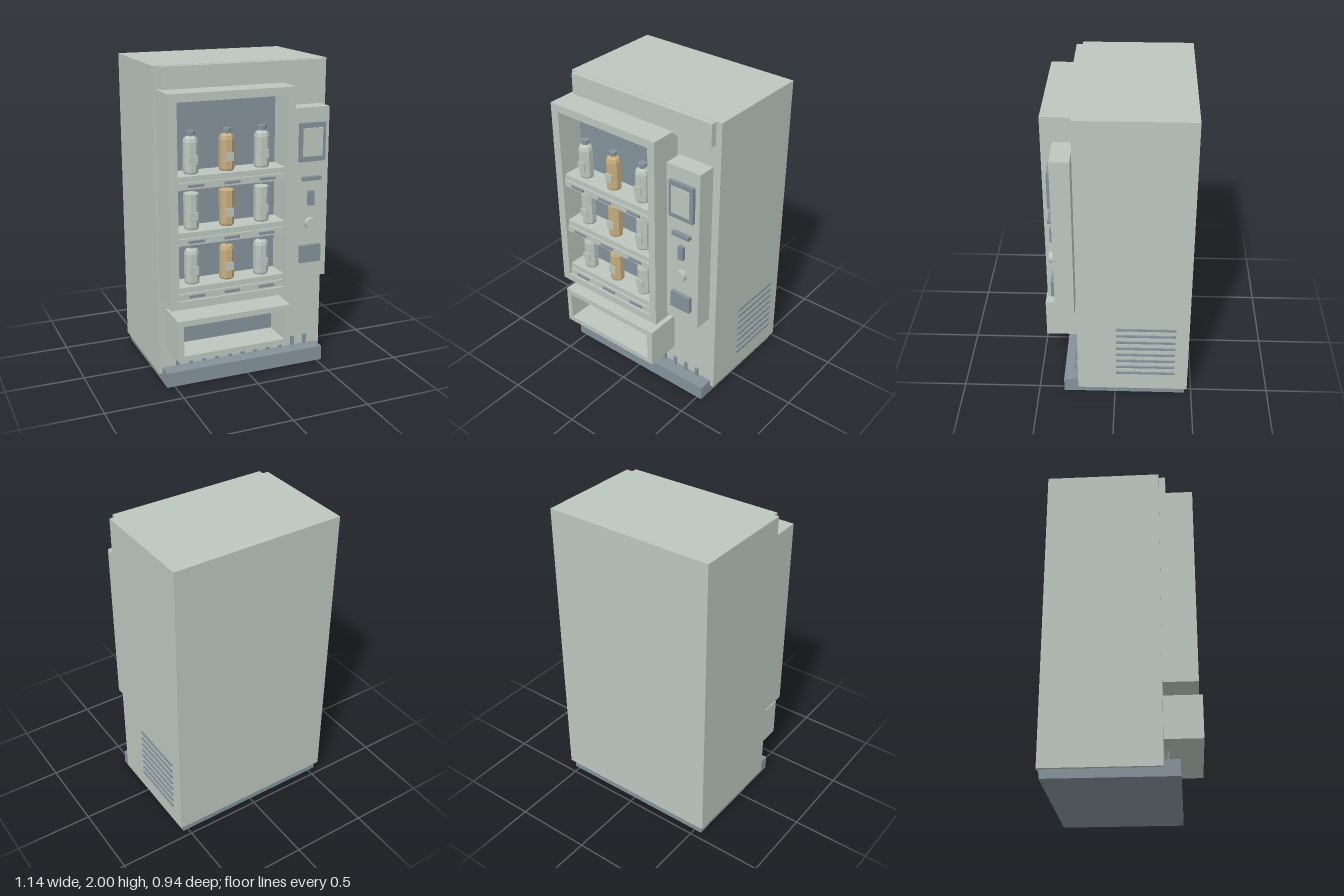
import * as THREE from 'three';

export function createModel() {
  const model = new THREE.Group();
  model.name = 'vendingMachine';

  const material = (name, color) => {
    const m = new THREE.MeshStandardMaterial({ color });
    m.name = name;
    return m;
  };
  const shell = material('paleGreyGreen', 0xbcc7bf);
  const dark = material('slateGrey', 0x84929a);
  const amber = material('amber', 0xc8ae7e);

  function add(name, geometry, mat, parent = model) {
    const mesh = new THREE.Mesh(geometry, mat);
    mesh.name = name;
    parent.add(mesh);
    return mesh;
  }
  // Box given by its limits on each axis
  function box(name, mat, [x0, x1], [y0, y1], [z0, z1], parent) {
    const g = new THREE.BoxGeometry(x1 - x0, y1 - y0, z1 - z0);
    g.translate((x0 + x1) / 2, (y0 + y1) / 2, (z0 + z1) / 2);
    return add(name, g, mat, parent);
  }
  // Rectangular frame with a rectangular opening, extruded along z
  function frame(name, [x0, x1], [y0, y1], [a0, a1], [b0, b1], [z0, z1]) {
    const rect = (T, l, r, b, t) => new T([[l, b], [r, b], [r, t], [l, t]].map(p => new THREE.Vector2(...p)));
    const shape = rect(THREE.Shape, x0, x1, y0, y1);
    shape.holes.push(rect(THREE.Path, a0, a1, b0, b1));
    const g = new THREE.ExtrudeGeometry(shape, { depth: z1 - z0, bevelEnabled: false });
    g.translate(0, 0, z0);
    return add(name, g, shell);
  }
  // Eight-sided faceted turning
  function turned(points) {
    const g = new THREE.LatheGeometry(points.map(p => new THREE.Vector2(...p)), 8, Math.PI / 8).toNonIndexed();
    g.computeVertexNormals();
    return g;
  }

  // Cabinet
  box('cabinet', shell, [-0.57, 0.56], [0.055, 2], [-0.47, 0.24]);
  box('base', dark, [-0.55, 0.535], [0, 0.097], [-0.455, 0.335]);
  box('header', shell, [-0.535, 0.52], [1.85, 1.998], [0.24, 0.28]);

  // Display case
  frame('displayFrame', [-0.555, 0.25], [0.56, 1.865], [-0.5, 0.2], [0.61, 1.815], [0.24, 0.45]);
  box('displayBack', dark, [-0.5, 0.2], [0.61, 1.815], [0.24, 0.27]);

  // Drink shapes: capped bottle and plain can
  const bottleBody = turned([[0, 0], [0.042, 0], [0.047, 0.012], [0.047, 0.19], [0.04, 0.212], [0.022, 0.225], [0, 0.225]]);
  const canBody = turned([[0, 0], [0.042, 0], [0.047, 0.012], [0.047, 0.22], [0, 0.22]]);
  const cap = turned([[0, 0.218], [0.021, 0.218], [0.021, 0.237], [0.027, 0.237], [0.027, 0.255], [0, 0.255]]);
  const label = new THREE.BoxGeometry(0.054, 0.052, 0.008).translate(0, 0.087, 0.047);

  // Shelves with price strips, tags and drinks
  const columns = [-0.383, -0.155, 0.075];
  [1.375, 1.033, 0.688].forEach((y, row) => {
    const shelf = new THREE.Group();
    shelf.name = 'shelf' + (row + 1);
    model.add(shelf);
    box('shelfBoard', shell, [-0.5, 0.2], [y - 0.035, y], [0.27, 0.425], shelf);
    box('priceStrip', shell, [-0.495, 0.195], [y - 0.077, y - 0.035], [0.41, 0.437], shelf);
    columns.forEach((x, col) => {
      box('priceTag', dark, [x - 0.05, x + 0.05], [y - 0.064, y - 0.048], [0.437, 0.445], shelf);
      const drink = new THREE.Group();
      drink.name = row === 1 ? 'can' : 'bottle';
      drink.position.set(x, y, 0.35);
      shelf.add(drink);
      add('drinkBody', row === 1 ? canBody : bottleBody, col === 1 ? amber : shell, drink);
      add('drinkLabel', label, shell, drink);
      if (row !== 1) add('drinkCap', cap, dark, drink);
    });
  });

  // Collection tray
  frame('trayFrame', [-0.518, 0.232], [0.227, 0.492], [-0.482, 0.192], [0.262, 0.455], [0.24, 0.47]);
  box('trayBack', dark, [-0.482, 0.192], [0.262, 0.455], [0.24, 0.27]);

  // Control panel
  box('controlPanel', shell, [0.28, 0.52], [0.625, 1.72], [0.255, 0.375]);
  box('screenBezel', dark, [0.312, 0.488], [1.387, 1.628], [0.375, 0.397]);
  box('screen', shell, [0.333, 0.465], [1.42, 1.597], [0.397, 0.404]);
  box('cardSlot', dark, [0.337, 0.463], [1.266, 1.29], [0.375, 0.404]);
  box('coinSlot', dark, [0.381, 0.419], [1.105, 1.197], [0.375, 0.4]);
  const button = new THREE.CylinderGeometry(0.037, 0.037, 0.034, 16).rotateX(Math.PI / 2);
  add('button', button, shell).position.set(0.4, 0.985, 0.391);
  box('coinReturn', dark, [0.328, 0.472], [0.73, 0.843], [0.375, 0.4]);

  // Front and side vents
  for (let i = 0; i < 11; i++) {
    const x = -0.455 + i * 0.0895;
    box('frontVent', dark, [x - 0.011, x + 0.011], [0.11, 0.17], [0.259, 0.272]);
  }
  for (let i = 0; i < 8; i++) {
    const y = 0.191 + i * 0.051;
    box('sideVent', dark, [0.555, 0.569], [y - 0.007, y + 0.007], [-0.385, -0.008]);
  }

  return model;
}
